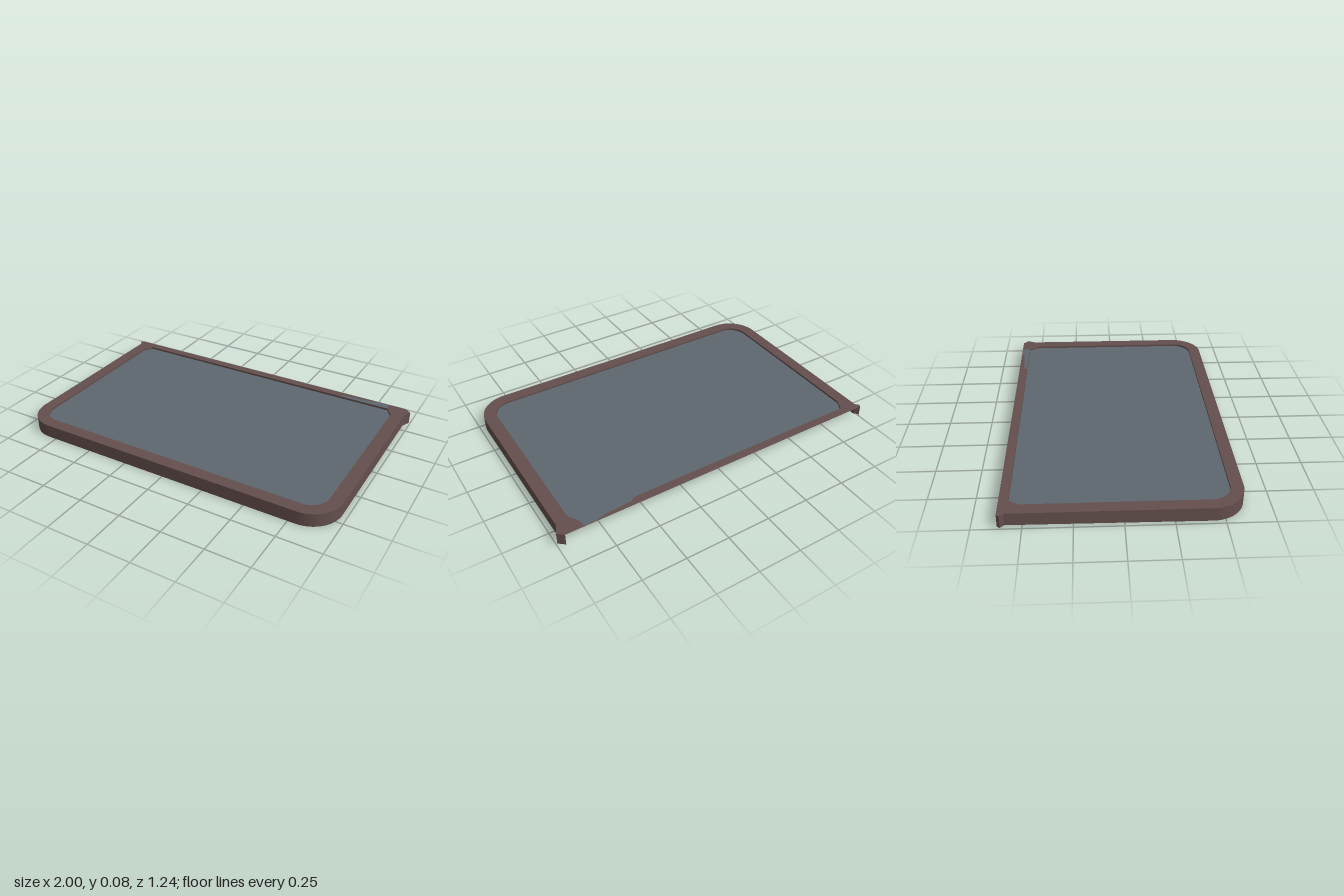
import * as THREE from 'three';
import { toCreasedNormals } from 'three/addons/utils/BufferGeometryUtils.js';

const TOP = 0.078;
const PANEL = 0.066;

// Vertical strip that follows a line of (x, -z) points
function ribbon(points, yTop, yBottom) {
  const pos = [], index = [];
  points.forEach((p, i) => {
    pos.push(p.x, yTop, -p.y, p.x, yBottom(-p.y), -p.y);
    if (i > 0) {
      const a = 2 * (i - 1);
      index.push(a, a + 1, a + 2, a + 1, a + 3, a + 2);
    }
  });
  const g = new THREE.BufferGeometry();
  g.setAttribute('position', new THREE.Float32BufferAttribute(pos, 3));
  g.setIndex(index);
  return toCreasedNormals(g, 0.5);
}

// Flat horizontal sheet from a shape drawn in (x, -z)
function sheet(shape, y) {
  return new THREE.ShapeGeometry(shape, 10).rotateX(-Math.PI / 2).translate(0, y, 0);
}

export function createModel() {
  const group = new THREE.Group();
  const frameMat = new THREE.MeshStandardMaterial({ color: 0x644f4d, side: THREE.DoubleSide });
  frameMat.name = 'brown frame';
  const panelMat = new THREE.MeshStandardMaterial({ color: 0x5e666f, side: THREE.DoubleSide });
  panelMat.name = 'slate panel';
  const add = (name, geometry, material) => {
    const mesh = new THREE.Mesh(geometry, material);
    mesh.name = name;
    group.add(mesh);
  };

  // Outer edge: flared back corners, straight sides, rounded front corners
  const outer = new THREE.Path();
  outer.moveTo(0.96, 0.62);
  outer.lineTo(0.995, 0.59);
  outer.lineTo(0.972, 0.54);
  outer.lineTo(0.972, -0.435);
  outer.absarc(0.792, -0.435, 0.18, 0, -Math.PI / 2, true);
  outer.lineTo(-0.8, -0.615);
  outer.absarc(-0.8, -0.435, 0.18, -Math.PI / 2, -Math.PI, true);
  outer.lineTo(-0.98, 0.585);
  outer.lineTo(-1, 0.605);
  outer.lineTo(-0.99, 0.62);
  const outerPoints = outer.getPoints(10);

  // Inner edge around the panel
  const inner = new THREE.Path();
  inner.moveTo(0.86, 0.57);
  inner.lineTo(0.898, 0.51);
  inner.lineTo(0.898, -0.435);
  inner.absarc(0.788, -0.435, 0.11, 0, -Math.PI / 2, true);
  inner.lineTo(-0.8, -0.545);
  inner.absarc(-0.8, -0.435, 0.11, -Math.PI / 2, -Math.PI, true);
  inner.lineTo(-0.91, 0.51);
  inner.lineTo(-0.88, 0.57);
  inner.lineTo(0.86, 0.57);
  const innerPoints = inner.getPoints(10);

  // Top border with the panel opening
  const border = new THREE.Shape(outerPoints);
  border.holes.push(new THREE.Path(innerPoints));
  add('frameTop', sheet(border, TOP), frameMat);

  // Skirt on the front and sides, open at the back and below
  add('frameSkirt', ribbon(outerPoints, TOP, z => 0.004 - 0.0065 * z), frameMat);

  // Small step down to the recessed panel
  add('innerRim', ribbon(innerPoints, TOP, () => PANEL), frameMat);
  add('panel', sheet(new THREE.Shape(innerPoints), PANEL), panelMat);

  // Slate strip running over the border at the back right
  const strip = [[0.54, 0.57], [0.57, 0.59], [0.72, 0.6], [0.78, 0.615], [0.85, 0.618], [0.865, 0.56], [0.86, 0.57]];
  add('backStrip', sheet(new THREE.Shape(strip.map(p => new THREE.Vector2(...p))), TOP + 0.001), panelMat);

  return group;
}
